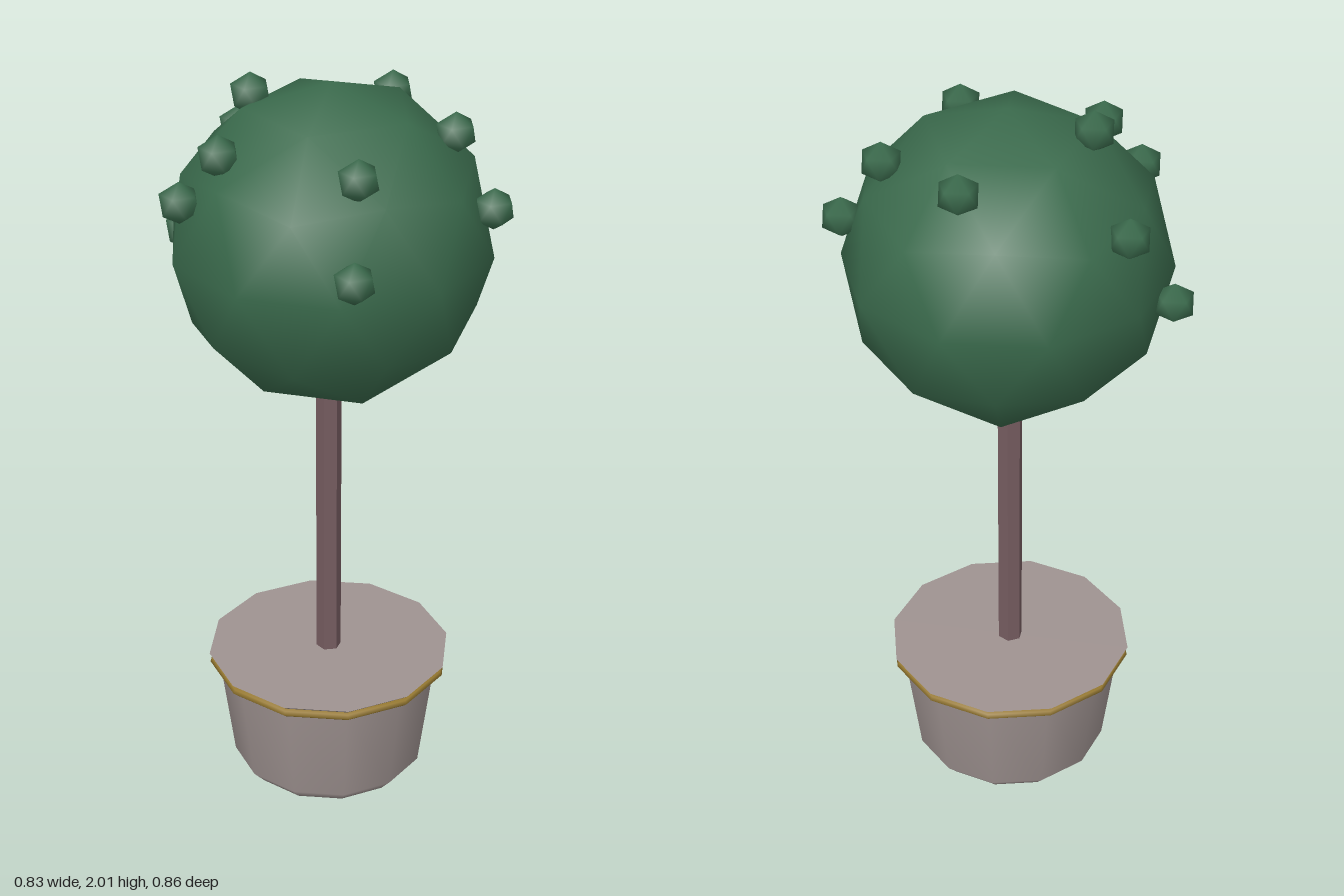
import * as THREE from 'three';

const mat = (name, color) => {
  const m = new THREE.MeshStandardMaterial({ color });
  m.name = name;
  return m;
};

// Smooth-shaded icosphere standing on one of its vertices
function icoSphere(radius, detail) {
  const g = new THREE.IcosahedronGeometry(radius, detail);
  g.rotateZ(-Math.atan(2 / (1 + Math.sqrt(5))));
  const p = g.attributes.position;
  const v = new THREE.Vector3();
  for (let i = 0; i < p.count; i++) {
    v.fromBufferAttribute(p, i).normalize();
    g.attributes.normal.setXYZ(i, v.x, v.y, v.z);
  }
  return g;
}

// Twelve-sided turned shape from [radius, height] pairs, bottom to top
const turned = (profile) =>
  new THREE.LatheGeometry(profile.map(([r, y]) => new THREE.Vector2(r, y)), 12);

export function createModel() {
  const model = new THREE.Group();
  model.name = 'pottedTopiaryTree';

  const leaf = mat('leaf green', 0x3a6a4c);
  const bark = mat('bark brown', 0x765c60);
  const clay = mat('pot grey', 0x9f9391);
  const gold = mat('rim gold', 0x94772f);

  const add = (name, geometry, material, x = 0.005, y = 0, z = 0) => {
    const mesh = new THREE.Mesh(geometry, material);
    mesh.name = name;
    mesh.position.set(x, y, z);
    model.add(mesh);
    return mesh;
  };

  // Pot: tapered body with a chamfered foot, gold band, flared lip and flat top
  add('potBody', turned([[0, 0], [0.233, 0], [0.267, 0.038], [0.306, 0.335]]), clay);
  add('potBand', turned([[0.3, 0.328], [0.322, 0.328], [0.332, 0.337], [0.327, 0.347], [0.308, 0.35]]), gold);
  add('potLip', turned([[0.308, 0.345], [0.318, 0.35], [0.334, 0.363]]), clay);
  const top = new THREE.CircleGeometry(0.334, 12).rotateX(-Math.PI / 2);
  add('potTop', top, clay, 0.005, 0.363);

  // Six-sided trunk
  const trunk = new THREE.CylinderGeometry(0.034, 0.034, 1, 6).toNonIndexed();
  trunk.computeVertexNormals();
  add('trunk', trunk, bark, 0.004, 0.8);

  // Round crown
  add('crown', icoSphere(0.42, 1), leaf, 0.008, 1.58, 0.004);

  // Small buds set on the crown
  const bud = icoSphere(0.055, 0);
  [
    [-0.165, 1.53, -0.39], [0.005, 1.78, -0.375], [-0.11, 1.95, -0.17],
    [-0.37, 1.74, -0.12], [-0.3, 1.865, -0.05], [0.27, 1.9, -0.07],
    [0.235, 1.875, 0.21], [0.27, 1.7, 0.32], [-0.138, 1.865, 0.285],
    [-0.215, 1.65, 0.365],
  ].forEach(([x, y, z], i) => add(`bud${i + 1}`, bud, leaf, x, y, z));

  return model;
}
